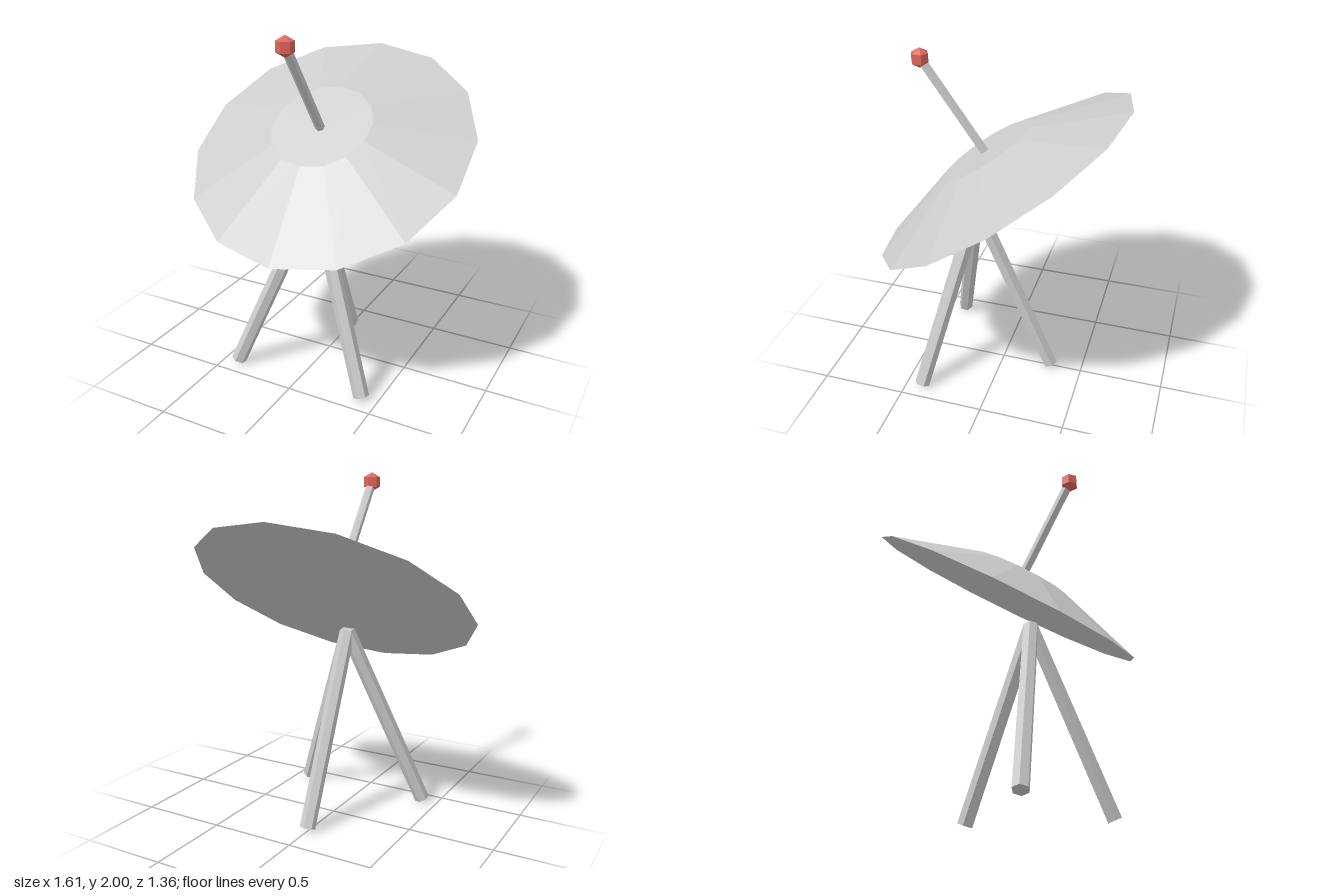
import * as THREE from 'three';

const grey = new THREE.MeshStandardMaterial({ color: 0xcccccc, flatShading: true });
const red = new THREE.MeshStandardMaterial({ color: 0xe0685c, flatShading: true });

// Hexagonal bar running between two points
function bar(name, from, to, radius) {
  const axis = to.clone().sub(from);
  const mesh = new THREE.Mesh(new THREE.CylinderGeometry(radius, radius, axis.length(), 6), grey);
  mesh.name = name;
  mesh.position.copy(from).lerp(to, 0.5);
  mesh.quaternion.setFromUnitVectors(new THREE.Vector3(0, 1, 0), axis.normalize());
  return mesh;
}

export function createModel() {
  const model = new THREE.Group();
  model.name = 'dishAntenna';

  // Tripod: one rear leg and two front legs meeting under the dish
  const tripod = new THREE.Group();
  tripod.name = 'tripod';
  const apex = new THREE.Vector3(0, 1.085, 0.165);
  ['rearLeg', 'frontLeftLeg', 'frontRightLeg'].forEach((name, i) => {
    const a = Math.PI + i * Math.PI * 2 / 3;
    const foot = new THREE.Vector3(Math.sin(a) * 0.47, 0.02, apex.z + Math.cos(a) * 0.47);
    // angles step round to the right-hand side first
    tripod.add(bar(foot.x < -0.1 ? 'frontRightLeg' : foot.x > 0.1 ? 'frontLeftLeg' : name, foot, apex, 0.045));
  });
  model.add(tripod);

  // Shallow 14-sided dish, closed underneath and tilted forward
  const dishGeometry = new THREE.CylinderGeometry(0.291, 0.826, 0.176, 14);
  dishGeometry.translate(0, 0.088, 0);
  const dish = new THREE.Mesh(dishGeometry, grey);
  dish.name = 'dish';
  dish.position.y = 1.31;
  dish.rotation.x = 0.6;
  model.add(dish);

  // Feed rod rising from the dish centre
  const feedEnd = new THREE.Vector3(0, 1.944, 0.465);
  model.add(bar('feedRod', new THREE.Vector3(0, 1.435, 0.105), feedEnd, 0.027));

  // Faceted receiver at the tip
  const receiver = new THREE.Mesh(new THREE.SphereGeometry(0.056, 6, 3), red);
  receiver.name = 'receiver';
  receiver.position.copy(feedEnd);
  receiver.rotation.y = Math.PI / 2;
  model.add(receiver);

  return model;
}
